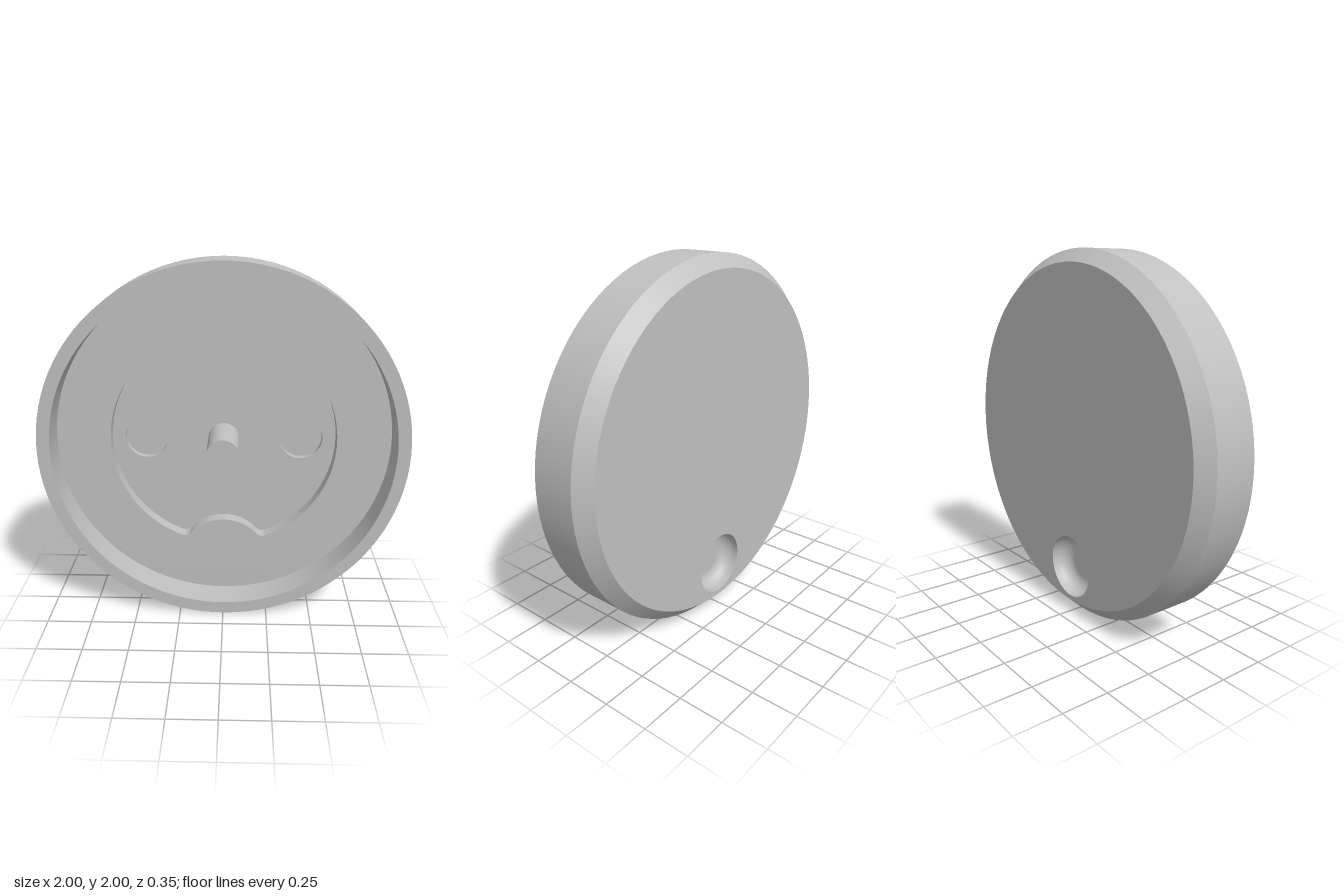
import * as THREE from 'three';
import { mergeGeometries } from 'three/addons/utils/BufferGeometryUtils.js';

const SEG = 96;
// depth levels along z
const BACK = -0.175, CHAMFER = -0.1, FLOOR = -0.03, POCKET = -0.105, HOLE = -0.14, RIM = 0.14, PEG = 0.175;

// revolve profiles [radius, z] about z; each profile is smooth, edges between profiles stay sharp
function revolve(profiles, seg = SEG) {
  const parts = profiles.map(p => new THREE.LatheGeometry(p.map(([r, z]) => new THREE.Vector2(r, z)), seg));
  return mergeGeometries(parts).rotateX(Math.PI / 2);
}

// split a polyline into separate two-point profiles
const sharp = pts => pts.slice(1).map((p, i) => [pts[i], p]);

function circle(x, y, r) {
  const pts = [];
  for (let i = 0; i < SEG; i++) {
    const a = (i / SEG) * Math.PI * 2;
    pts.push(new THREE.Vector2(x + r * Math.cos(a), y + r * Math.sin(a)));
  }
  return pts;
}

// flat face with holes, facing +z or -z
function plate(outline, holes, z, back = false) {
  const shape = new THREE.Shape(outline);
  shape.holes = holes.map(h => new THREE.Path(h));
  const g = new THREE.ShapeGeometry(shape);
  if (back) g.scale(-1, 1, 1).rotateY(0), flip(g);
  return g.translate(0, 0, z);
}

// reverse the facing of a mirrored geometry
function flip(g) {
  const idx = g.index.array;
  for (let i = 0; i < idx.length; i += 3) [idx[i], idx[i + 1]] = [idx[i + 1], idx[i]];
  // mirrored winding now faces +z again only if swapped twice, so settle it from the first triangle
  const p = g.attributes.position;
  const [a, b, c] = [0, 1, 2].map(k => new THREE.Vector3().fromBufferAttribute(p, idx[k]));
  if (b.sub(a).cross(c.sub(a)).z > 0) {
    for (let i = 0; i < idx.length; i += 3) [idx[i], idx[i + 1]] = [idx[i + 1], idx[i]];
  }
  g.computeVertexNormals();
}

// inward-facing wall around a counter-clockwise outline
function wall(outline, zBack, zFront) {
  const n = outline.length, pos = [], idx = [];
  outline.forEach(p => pos.push(p.x, p.y, zFront, p.x, p.y, zBack));
  for (let i = 0; i < n; i++) {
    const a = 2 * i, c = a + 1, b = 2 * ((i + 1) % n), d = b + 1;
    idx.push(c, a, d, a, b, d);
  }
  const g = new THREE.BufferGeometry();
  g.setAttribute('position', new THREE.Float32BufferAttribute(pos, 3));
  g.setIndex(idx);
  g.computeVertexNormals();
  return g;
}

// round pocket with a filleted notch at top and bottom
function pocketOutline() {
  const R = 0.63, N = 0.25, f = 0.05, ny = 0.73;
  const fy = ((R - f) ** 2 - (N + f) ** 2 + ny * ny) / (2 * ny);
  const fx = Math.sqrt((R - f) ** 2 - fy * fy);
  const a = Math.atan2(fy, fx), e = Math.atan2(ny - fy, -fx), q = Math.atan2(fy - ny, fx);
  const pts = [];
  const arc = (x, y, r, from, to, n) => {
    for (let i = 0; i < n; i++) {
      const t = from + ((to - from) * i) / n;
      pts.push(new THREE.Vector2(x + r * Math.cos(t), y + r * Math.sin(t)));
    }
  };
  for (const [s, o] of [[1, 0], [-1, Math.PI]]) {
    arc(0, 0, R, o - a, o + a, 48);
    arc(s * fx, s * fy, f, o + a, o + e, 10);
    arc(0, s * ny, N, o + q, o - Math.PI - q, 24);
    arc(-s * fx, s * fy, f, o + Math.PI - e, o + Math.PI - a, 10);
  }
  return pts;
}

export function createModel() {
  const model = new THREE.Group();
  model.name = 'roundCap';
  const grey = new THREE.MeshStandardMaterial({ color: 0xc0c0c0 });
  grey.name = 'plain grey';

  const add = (name, geometry, x = 0, y = 0) => {
    const mesh = new THREE.Mesh(geometry, grey);
    mesh.name = name;
    mesh.position.set(x, 1 + y, 0);
    model.add(mesh);
  };

  // outer shell: chamfer, side, rim and inner wall
  add('shell', revolve(sharp([[0.93, BACK], [1, CHAMFER], [1, RIM], [0.93, RIM], [0.93, FLOOR]])));

  // recessed floor and the notched pocket in it
  const pocket = pocketOutline();
  const holeX = 0.437, holeR = 0.12;
  add('recessFloor', plate(circle(0, 0, 0.93), [pocket], FLOOR));
  add('pocketWall', wall(pocket, POCKET, FLOOR));
  add('pocketFloor', plate(pocket, [circle(-holeX, 0, holeR), circle(holeX, 0, holeR)], POCKET));

  // blind holes on both sides of the peg
  for (const s of [-1, 1]) {
    add(s > 0 ? 'leftHole' : 'rightHole',
      revolve(sharp([[holeR, POCKET], [holeR, HOLE], [0, HOLE]])), s * holeX);
  }

  // centre peg
  add('peg', revolve(sharp([[0.0875, POCKET], [0.0875, PEG], [0, PEG]])));

  // back face with a rounded finger dimple
  const dimpleY = -0.73, dimpleR = 0.174, flatR = 0.1, fillet = dimpleR - flatR, bottom = -0.075;
  add('backFace', plate(circle(0, 0, 0.93), [circle(0, dimpleY, dimpleR)], BACK, true));
  const curve = [];
  for (let i = 0; i <= 12; i++) {
    const t = (i / 12) * Math.PI / 2;
    curve.push([flatR + fillet * Math.sin(t), bottom - fillet * (1 - Math.cos(t))]);
  }
  add('fingerDimple', revolve([
    [[0, bottom], [flatR, bottom]], curve, [[dimpleR, bottom - fillet], [dimpleR, BACK]],
  ]), 0, dimpleY);

  return model;
}
